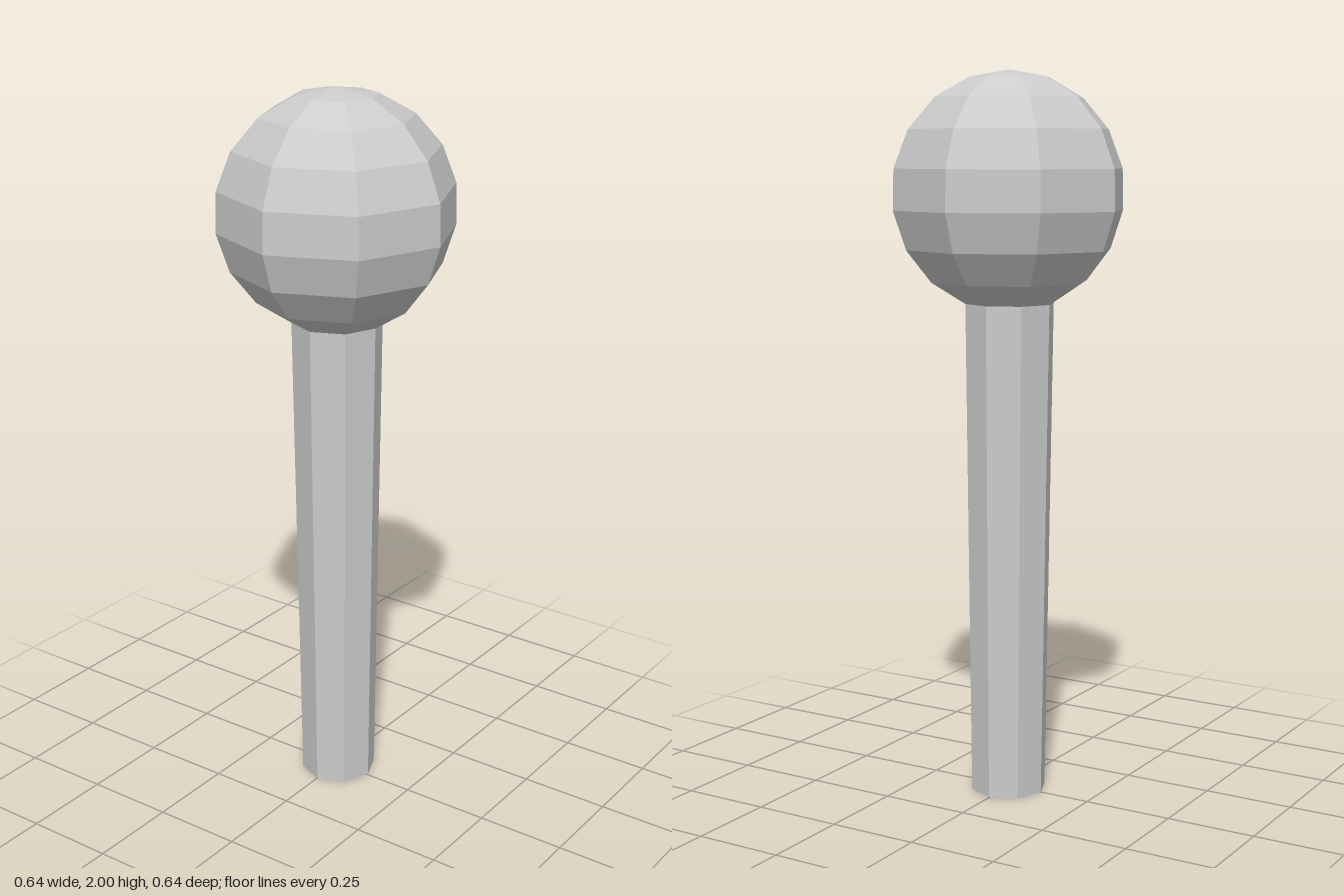
import * as THREE from 'three';

const SIDES = 8;
const HEAD_RADIUS = 0.325;
const HEAD_Y = 2 - HEAD_RADIUS;
const NECK_ANGLE = (Math.PI * 7) / 8; // polar angle where the ball opens into the handle
const NECK_RADIUS = HEAD_RADIUS * Math.sin(NECK_ANGLE);
const NECK_Y = HEAD_Y + HEAD_RADIUS * Math.cos(NECK_ANGLE);
const FOOT_RADIUS = 0.106;

export function createModel() {
  const model = new THREE.Group();
  const material = new THREE.MeshStandardMaterial({
    color: 0xcccccc, flatShading: true, side: THREE.DoubleSide,
  });

  // Faceted ball, open at the bottom ring
  const head = new THREE.Mesh(
    new THREE.SphereGeometry(HEAD_RADIUS, SIDES, 8, 0, Math.PI * 2, 0, NECK_ANGLE), material);
  head.name = 'head';
  head.position.y = HEAD_Y;

  // Hollow handle, tapering down to an open end
  const handleGeometry = new THREE.CylinderGeometry(
    NECK_RADIUS, FOOT_RADIUS, NECK_Y, SIDES, 1, true);
  handleGeometry.translate(0, NECK_Y / 2, 0);

  // The lower end leans very slightly off axis
  const p = handleGeometry.attributes.position;
  for (let i = 0; i < p.count; i++) {
    const t = 1 - p.getY(i) / NECK_Y;
    p.setX(i, p.getX(i) + 0.004 * t);
    p.setZ(i, p.getZ(i) + 0.002 * t);
  }
  handleGeometry.computeVertexNormals();
  const handle = new THREE.Mesh(handleGeometry, material);
  handle.name = 'handle';

  model.add(head, handle);
  return model;
}
